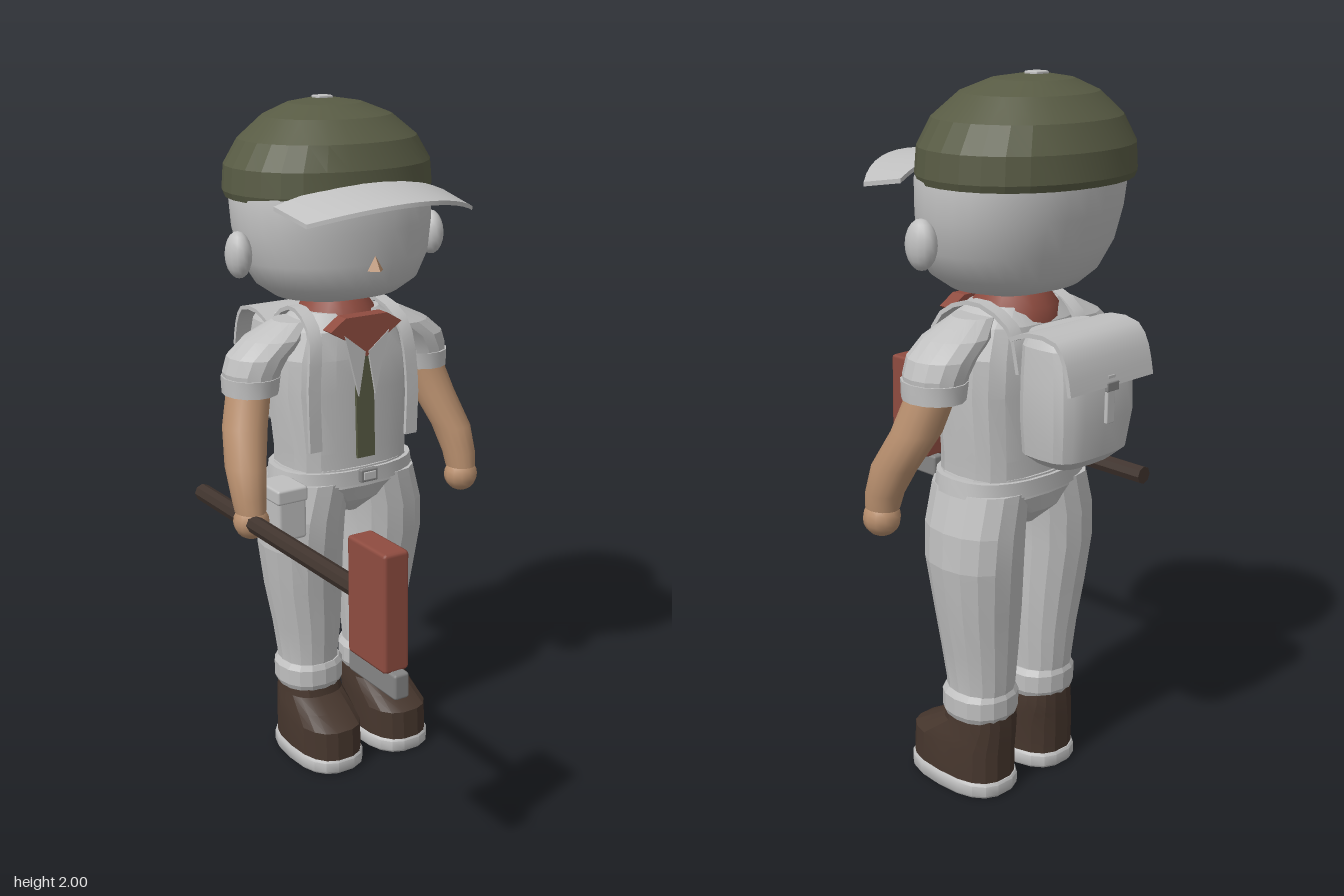
import * as THREE from 'three';
import { toCreasedNormals } from 'three/addons/utils/BufferGeometryUtils.js';
import { RoundedBoxGeometry } from 'three/addons/geometries/RoundedBoxGeometry.js';

const colour = (name, hex) => {
  const m = new THREE.MeshStandardMaterial({ color: hex });
  m.name = name;
  return m;
};

// Closed skin over horizontal superellipse rings [y, cx, cz, rx, rz], bottom to top
function loft(rings, n = 20, power = 2, crease = 0.7) {
  const pos = [], idx = [];
  const bend = v => Math.sign(v) * Math.pow(Math.abs(v), 2 / power);
  for (const [y, cx, cz, rx, rz] of rings) {
    for (let i = 0; i < n; i++) {
      const a = (i / n) * Math.PI * 2;
      pos.push(cx + rx * bend(Math.cos(a)), y, cz + rz * bend(Math.sin(a)));
    }
  }
  const last = rings.length - 1, bottom = rings.length * n, top = bottom + 1;
  pos.push(rings[0][1], rings[0][0], rings[0][2]);
  pos.push(rings[last][1], rings[last][0], rings[last][2]);
  for (let i = 0; i < n; i++) {
    const j = (i + 1) % n;
    for (let r = 0; r < last; r++) {
      const a = r * n + i, d = r * n + j;
      idx.push(a, a + n, d + n, a, d + n, d);
    }
    idx.push(bottom, i, j, top, last * n + j, last * n + i);
  }
  const g = new THREE.BufferGeometry();
  g.setAttribute('position', new THREE.Float32BufferAttribute(pos, 3));
  g.setIndex(idx);
  return toCreasedNormals(g, crease);
}

// Apply a rule to every vertex of a geometry
function warp(g, rule) {
  const p = g.attributes.position, v = new THREE.Vector3();
  for (let i = 0; i < p.count; i++) {
    rule(v.fromBufferAttribute(p, i));
    p.setXYZ(i, v.x, v.y, v.z);
  }
  return toCreasedNormals(g, 0.6);
}

// Flat band of cloth along a path
function ribbon(points, width, thick = 0.012, steps = 14) {
  const curve = new THREE.CatmullRomCurve3(points.map(p => new THREE.Vector3(...p)));
  const side = new THREE.Vector3(1, 0, 0);
  return warp(new THREE.BoxGeometry(width, thick, 1, 1, 1, steps), v => {
    const t = THREE.MathUtils.clamp(v.z + 0.5, 0, 1);
    const { x, y } = v;
    const normal = curve.getTangent(t).cross(side).normalize();
    v.copy(curve.getPoint(t)).addScaledVector(normal, y);
    v.x += x;
  });
}

// Thin plate facing forward
function plate(points, depth) {
  const s = new THREE.Shape(points.map(p => new THREE.Vector2(...p)));
  return new THREE.ExtrudeGeometry(s, { depth, bevelEnabled: false });
}

export function createModel() {
  const model = new THREE.Group();
  const pale = colour('pale cloth', 0xc0c0c0);
  const olive = colour('olive cloth', 0x585b44);
  const red = colour('red', 0x8f4c40);
  const skin = colour('tan skin', 0xb88f6e);
  const boots = colour('dark leather', 0x46362d);
  const wood = colour('dark wood', 0x40342e);
  const metal = colour('grey metal', 0x858585);

  const add = (name, geo, mat, x = 0, y = 0, z = 0) => {
    const m = new THREE.Mesh(geo, mat);
    m.name = name;
    m.position.set(x, y, z);
    model.add(m);
    return m;
  };
  const box = (w, h, d, r = 0.008) => new RoundedBoxGeometry(w, h, d, 1, r);

  // Head, nose and cap
  add('head', loft([
    [1.435, 0, -0.285, 0.12, 0.09], [1.452, 0, -0.28, 0.19, 0.15], [1.49, 0, -0.277, 0.245, 0.193],
    [1.56, 0, -0.285, 0.286, 0.215], [1.65, 0, -0.295, 0.302, 0.227],
    [1.74, 0, -0.3, 0.305, 0.235], [1.82, 0, -0.31, 0.28, 0.22]], 32, 2.15, 1.0), pale);
  add('nose', toCreasedNormals(new THREE.ConeGeometry(0.026, 0.042, 4), 0.1), skin, 0, 1.563, -0.07);
  add('cap', loft([
    [1.732, 0, -0.315, 0.308, 0.247], [1.75, 0, -0.317, 0.314, 0.252], [1.82, 0, -0.317, 0.308, 0.248],
    [1.89, 0, -0.316, 0.264, 0.222], [1.95, 0, -0.32, 0.19, 0.165],
    [1.982, 0, -0.33, 0.11, 0.1], [1.993, 0, -0.34, 0.04, 0.04]], 28, 2.1, 0.2), olive);
  add('capButton', box(0.048, 0.014, 0.044, 0.004), pale, 0, 1.993, -0.343);
  add('visor', warp(new THREE.BoxGeometry(2, 0.012, 1, 14, 1, 2), v => {
    const u = v.x, f = v.z + 0.5, lerp = THREE.MathUtils.lerp;
    v.set(u * lerp(0.28, 0.27, f),
      v.y + lerp(1.785 - 0.055 * u * u, 1.755 - 0.052 * u * u, f),
      lerp(-0.1 - 0.04 * u * u, 0.143 - 0.128 * u * u, f));
  }), pale);

  // Shirt, scarf and tie
  add('shirt', loft([
    [0.9, 0, -0.27, 0.2, 0.138], [1.0, 0, -0.27, 0.2, 0.138], [1.18, 0, -0.27, 0.218, 0.142],
    [1.28, 0, -0.27, 0.212, 0.142], [1.36, 0, -0.27, 0.18, 0.128], [1.405, 0, -0.275, 0.12, 0.095]],
    20, 2.8, 0.3), pale);
  add('scarfBand', loft([
    [1.36, 0, -0.275, 0.125, 0.125], [1.4, 0, -0.28, 0.115, 0.118], [1.44, 0, -0.28, 0.085, 0.09]], 16), red);
  add('scarfKnot', plate([[-0.12, 1.37], [-0.06, 1.335], [0, 1.285], [0.06, 1.335],
    [0.12, 1.375], [0.07, 1.405], [-0.07, 1.405]], 0.045), red, 0, 0, -0.16);
  add('tie', plate([[-0.03, 0.98], [0.03, 0.98], [0.027, 1.2], [0.02, 1.33], [-0.035, 1.33]], 0.009),
    olive, 0, 0, -0.129);

  // Trousers, belt and pouch
  add('trouserTop', loft([
    [0.79, 0, -0.275, 0.03, 0.08], [0.84, 0, -0.275, 0.13, 0.13],
    [0.89, 0, -0.27, 0.222, 0.148], [0.95, 0, -0.27, 0.205, 0.145]], 20, 2.4, 0.3), pale);
  add('belt', loft([[0.9, 0, -0.27, 0.229, 0.155], [0.945, 0, -0.27, 0.222, 0.155]], 24, 2.4), pale);
  add('buckle', box(0.06, 0.04, 0.02, 0.005), metal, 0, 0.927, -0.113);
  add('buckleCentre', box(0.042, 0.024, 0.008, 0.002), pale, 0, 0.927, -0.103);
  add('pouch', box(0.095, 0.15, 0.125, 0.012), pale, -0.255, 0.847, -0.177);
  add('pouchFlap', box(0.1, 0.045, 0.132, 0.008), pale, -0.255, 0.91, -0.177);

  // Mirrored parts
  for (const [s, side] of [[1, 'left'], [-1, 'right']]) {
    const part = (name, rings, mat, n, power, crease) =>
      add(side + name, loft(rings.map(([y, x, ...r]) => [y, x * s, ...r]), n, power, crease), mat);

    const ear = new THREE.SphereGeometry(1, 14, 10);
    ear.scale(0.036, 0.066, 0.047);
    add(side + 'Ear', ear, pale, 0.325 * s, 1.59, -0.265);

    part('Sleeve', [[1.2, 0.292, -0.277, 0.076, 0.085], [1.25, 0.288, -0.277, 0.084, 0.09],
      [1.295, 0.265, -0.277, 0.092, 0.094], [1.34, 0.21, -0.277, 0.095, 0.09],
      [1.385, 0.15, -0.277, 0.06, 0.06]], pale, 14, 2, 0.3);
    part('SleeveCuff', [[1.188, 0.295, -0.277, 0.08, 0.09], [1.238, 0.292, -0.277, 0.084, 0.094]], pale, 14);
    part('Arm', [[0.875, 0.37, -0.158, 0.044, 0.05], [0.92, 0.369, -0.167, 0.05, 0.055],
      [1.0, 0.36, -0.198, 0.058, 0.068], [1.1, 0.33, -0.25, 0.065, 0.07],
      [1.22, 0.295, -0.28, 0.064, 0.068]], skin, 16, 2, 0.8);
    add(side + 'Hand', new THREE.SphereGeometry(0.052, 12, 10), skin, 0.37 * s, 0.846, -0.155);

    part('TrouserLeg', [[0.25, 0.118, -0.28, 0.088, 0.09], [0.33, 0.118, -0.283, 0.09, 0.098],
      [0.43, 0.121, -0.28, 0.102, 0.108], [0.56, 0.131, -0.28, 0.116, 0.121],
      [0.7, 0.141, -0.276, 0.123, 0.14], [0.8, 0.136, -0.273, 0.121, 0.146],
      [0.91, 0.112, -0.27, 0.114, 0.145]], pale, 16, 2.2, 0.15);
    part('TrouserCuff', [[0.228, 0.117, -0.28, 0.095, 0.097], [0.245, 0.117, -0.28, 0.103, 0.104],
      [0.295, 0.117, -0.28, 0.104, 0.104], [0.312, 0.117, -0.28, 0.092, 0.097]], pale, 16, 2.2, 0.3);
    part('Boot', [[0.035, 0.121, -0.218, 0.1, 0.163], [0.135, 0.12, -0.22, 0.1, 0.161],
      [0.17, 0.117, -0.25, 0.096, 0.131], [0.205, 0.115, -0.28, 0.091, 0.1],
      [0.235, 0.115, -0.282, 0.088, 0.096]], boots, 18, 2.6, 0.3);
    part('Sole', [[0, 0.121, -0.22, 0.102, 0.163], [0.008, 0.121, -0.22, 0.107, 0.169],
      [0.038, 0.121, -0.22, 0.107, 0.169], [0.045, 0.121, -0.22, 0.102, 0.164]], pale, 18, 2.6);

    const at = p => [p[0] * s, p[1], p[2]];
    add(side + 'ShoulderStrap', ribbon([[0.165, 1.02, -0.135], [0.168, 1.2, -0.135], [0.15, 1.36, -0.158],
      [0.135, 1.415, -0.27], [0.125, 1.36, -0.395], [0.12, 1.25, -0.425]].map(at), 0.04), pale);
    const lapel = [[0.005, 1.3], [0.028, 1.17], [0.075, 1.355]].map(([x, y]) => [x * s, y]);
    add(side + 'Lapel', plate(lapel, 0.009), pale, 0, 0, -0.122);
  }

  // Backpack with a folded flap
  add('backpack', loft([
    [1.01, 0, -0.5, 0.1, 0.065], [1.04, 0, -0.503, 0.14, 0.094], [1.14, 0, -0.508, 0.152, 0.102],
    [1.24, 0, -0.505, 0.15, 0.1], [1.33, 0, -0.495, 0.14, 0.09], [1.365, 0, -0.49, 0.12, 0.075]],
    20, 3.6, 0.4), pale);
  add('backpackFlap', ribbon([[0, 1.345, -0.415], [0, 1.368, -0.48], [0, 1.36, -0.57],
    [0, 1.31, -0.604], [0, 1.235, -0.622]], 0.32, 0.012, 8), pale);
  add('backpackStrap', box(0.03, 0.13, 0.012, 0.003), pale, 0, 1.2, -0.618);
  add('backpackClasp', box(0.045, 0.025, 0.012, 0.003), metal, 0, 1.235, -0.624);

  // Long hammer held in the right hand
  const handle = add('hammerHandle', toCreasedNormals(new THREE.CylinderGeometry(0.026, 0.026, 0.9, 8), 0.2),
    wood, -0.38, 0.85, 0.012);
  handle.rotation.x = Math.PI / 2;
  add('hammerHead', box(0.074, 0.32, 0.172, 0.01), red, -0.381, 0.85, 0.52);
  add('hammerTip', box(0.045, 0.07, 0.216, 0.008), metal, -0.381, 0.66, 0.522);

  return model;
}
